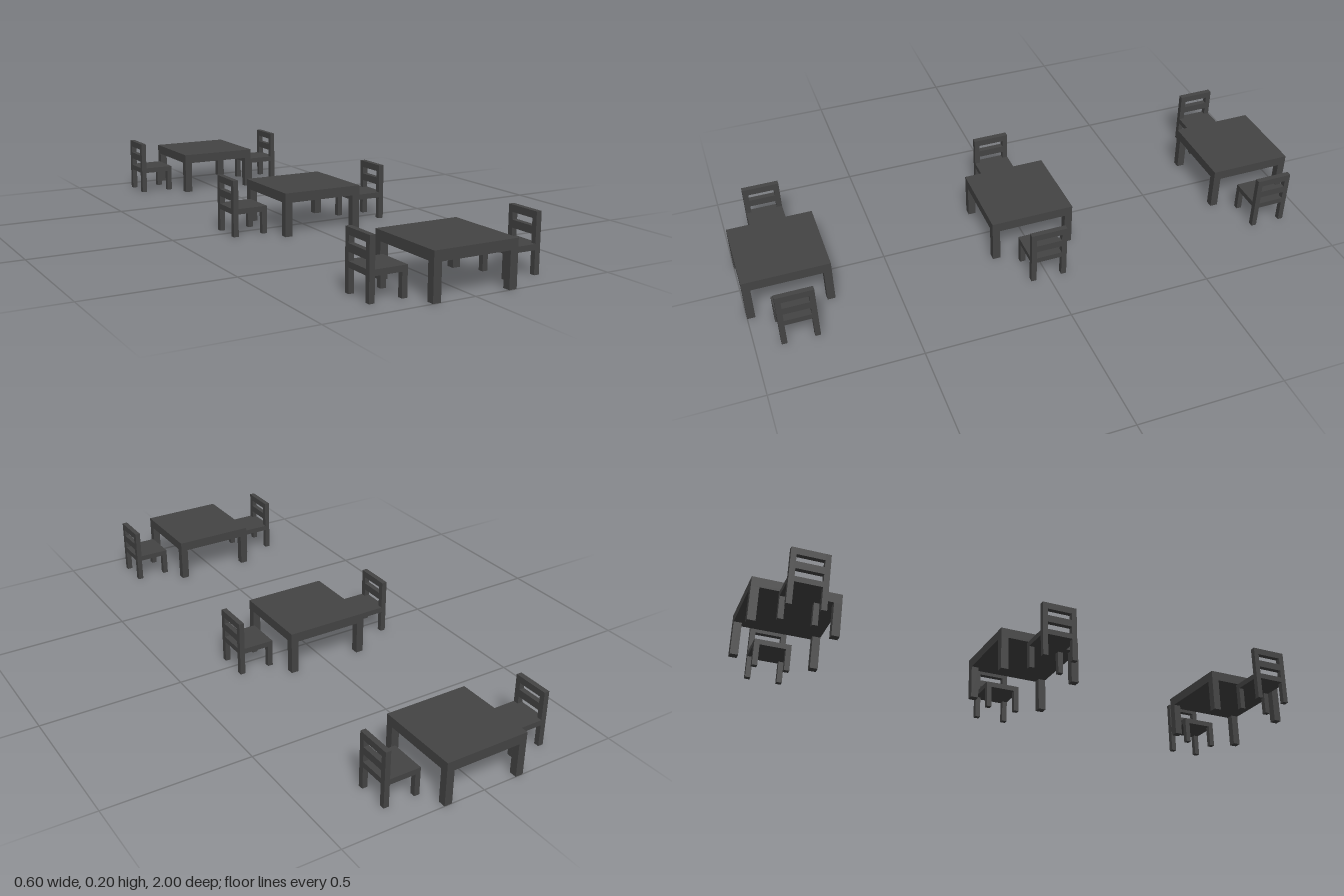
import * as THREE from 'three';

const material = new THREE.MeshStandardMaterial({ color: 0x444444 });

// Box given by its min and max corners
function addBox(parent, name, [x0, y0, z0], [x1, y1, z1]) {
  const mesh = new THREE.Mesh(new THREE.BoxGeometry(x1 - x0, y1 - y0, z1 - z0), material);
  mesh.position.set((x0 + x1) / 2, (y0 + y1) / 2, (z0 + z1) / 2);
  mesh.name = name;
  parent.add(mesh);
}

function createTable() {
  const table = new THREE.Group();
  table.name = 'table';
  const h = 0.147, leg = 0.027, under = 0.118;
  addBox(table, 'tableTop', [-h, under, -h], [h, 0.152, h]);
  for (const x of [-h, h - leg])
    for (const z of [-h, h - leg])
      addBox(table, 'tableLeg', [x, 0, z], [x + leg, under, z + leg]);
  return table;
}

// Chair on the +x side of the table, facing it
function createChair() {
  const chair = new THREE.Group();
  chair.name = 'chair';
  const front = 0.175, back = 0.302, w = 0.0635, t = 0.0185;
  const seatLow = 0.078, seatHigh = 0.097, top = 0.196;
  addBox(chair, 'seat', [front, seatLow, -w], [back - t, seatHigh, w]);
  addBox(chair, 'seatRear', [back - t, seatLow, -w + t], [back, seatHigh, w - t]);
  for (const z of [-w, w - t]) {
    addBox(chair, 'frontLeg', [front, 0, z], [front + t, seatLow, z + t]);
    addBox(chair, 'backPost', [back - t, 0, z], [back, top, z + t]);
  }
  // Back rails between the posts
  for (const [y0, y1] of [[0.124, 0.149], [0.173, top]])
    addBox(chair, 'backRail', [back - t, y0, -w + t], [back, y1, w - t]);
  return chair;
}

export function createModel() {
  const model = new THREE.Group();
  model.name = 'diningTables';
  // Three table sets in a row, each with two facing chairs
  for (const z of [-0.853, 0, 0.853]) {
    const set = new THREE.Group();
    set.name = 'tableSet';
    set.position.z = z;
    const left = createChair();
    const right = createChair();
    right.rotation.y = Math.PI;
    set.add(createTable(), left, right);
    model.add(set);
  }
  return model;
}
